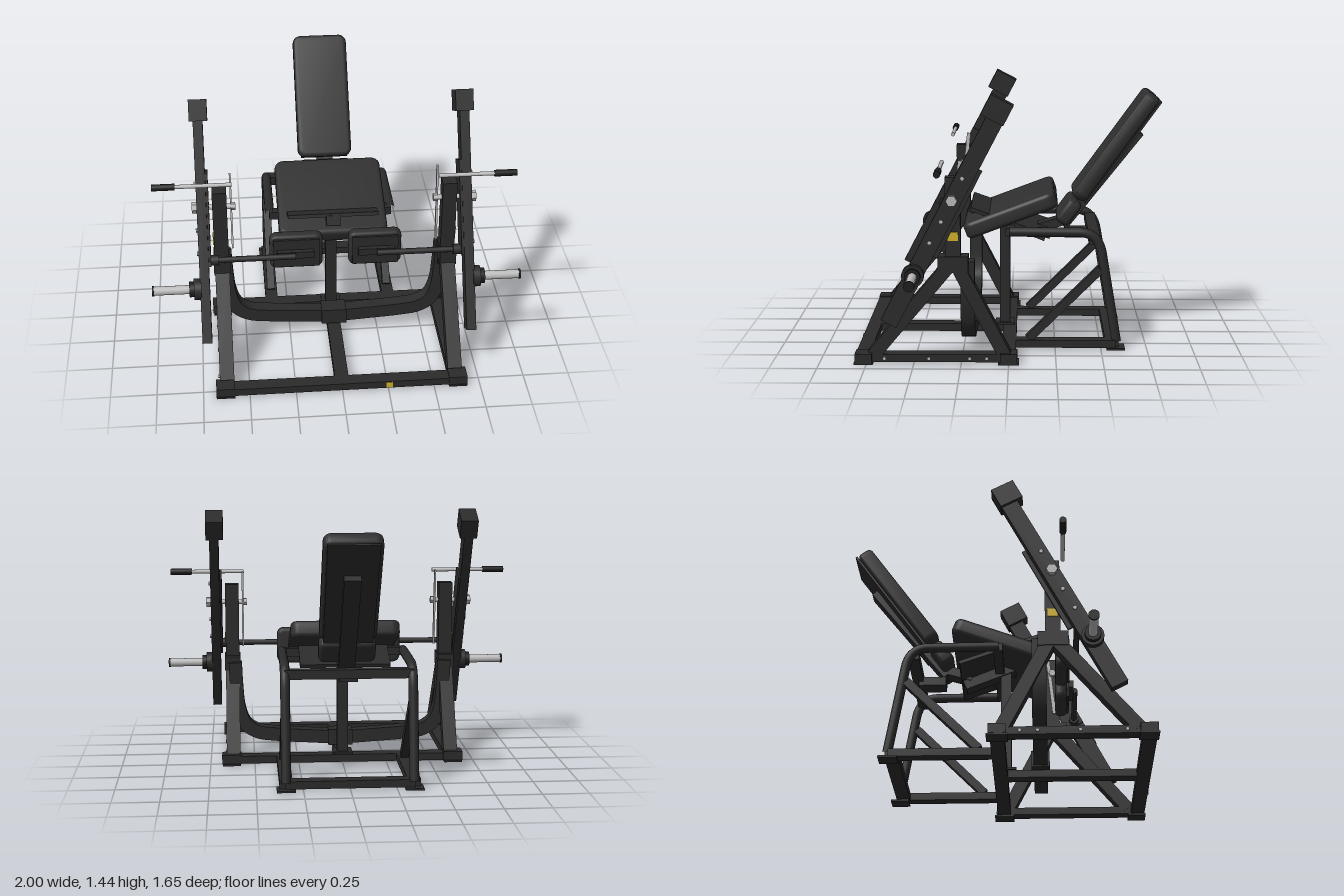
import * as THREE from 'three';
import { toCreasedNormals } from 'three/addons/utils/BufferGeometryUtils.js';

const mat = (name, color) => {
  const m = new THREE.MeshStandardMaterial({ color });
  m.name = name;
  return m;
};

export function createModel() {
  const model = new THREE.Group();
  model.name = 'legExtensionMachine';
  const frame = mat('frameBlack', 0x2b2b2b);
  const vinyl = mat('padBlack', 0x2f2f2f);
  const rubber = mat('rubberBlack', 0x1e1e1e);
  const steel = mat('steel', 0xbdbdbd);
  const yellow = mat('yellow', 0xd2b42a);

  const V = (x, y, z) => new THREE.Vector3(x, y, z);
  const add = (name, geo, material) => {
    const mesh = new THREE.Mesh(geo, material);
    mesh.name = name;
    model.add(mesh);
    return mesh;
  };
  const box = (name, w, h, d, x, y, z, material = frame, tilt = 0) => {
    const m = add(name, new THREE.BoxGeometry(w, h, d), material);
    m.position.set(x, y, z);
    m.rotation.x = tilt;
    return m;
  };
  // Rectangular bar between two points; w is the horizontal width
  const bar = (name, a, b, w, h, material = frame) => {
    const m = add(name, new THREE.BoxGeometry(w, h, a.distanceTo(b)), material);
    m.position.copy(a).lerp(b, 0.5);
    m.lookAt(b);
    return m;
  };
  // Round rod along x
  const rod = (name, x0, x1, y, z, r, material, sides = 20) => {
    const g = new THREE.CylinderGeometry(r, r, Math.abs(x1 - x0), sides);
    const m = add(name, sides > 8 ? g : g.toNonIndexed(), material);
    m.geometry.rotateZ(Math.PI / 2);
    if (sides <= 8) m.geometry.computeVertexNormals();
    m.position.set((x0 + x1) / 2, y, z);
    return m;
  };
  // Upholstered pad: rounded rectangle facing z, with a soft rim
  const pad = (name, w, h, t, r, y, z, tilt, x = 0) => {
    const bevel = Math.min(0.022, t * 0.35);
    const W = w / 2 - bevel, H = h / 2 - bevel, R = Math.max(r - bevel, 0.008);
    const s = new THREE.Shape();
    s.absarc(W - R, H - R, R, 0, Math.PI / 2);
    s.absarc(-W + R, H - R, R, Math.PI / 2, Math.PI);
    s.absarc(-W + R, -H + R, R, Math.PI, Math.PI * 1.5);
    s.absarc(W - R, -H + R, R, Math.PI * 1.5, Math.PI * 2);
    const g = new THREE.ExtrudeGeometry(s, {
      depth: t - 2 * bevel, bevelThickness: bevel, bevelSize: bevel, bevelSegments: 4, curveSegments: 6,
    });
    g.translate(0, 0, -t / 2 + bevel);
    const m = add(name, toCreasedNormals(g, 0.7), vinyl);
    m.position.set(x, y, z);
    m.rotation.x = tilt;
    return m;
  };

  // Base
  box('frontBaseTube', 1.3, 0.042, 0.075, 0, 0.031, 0.77);
  box('middleBaseTube', 1.34, 0.042, 0.075, 0, 0.031, 0);
  box('rearBaseTube', 0.69, 0.042, 0.075, 0, 0.031, -0.56);
  box('centreBaseTube', 0.075, 0.042, 0.75, 0, 0.031, 0.385);
  box('baseLabel', 0.035, 0.035, 0.006, 0.255, 0.032, 0.809, yellow);

  // Curved cross tube joining the two uprights
  const half = [[0.605, 0.55], [0.598, 0.4], [0.585, 0.28], [0.55, 0.19], [0.48, 0.142], [0.38, 0.126], [0.2, 0.113]];
  const path = new THREE.CatmullRomCurve3([
    ...half.map(([x, y]) => V(-x, y, 0)), V(0, 0.103, 0), ...half.slice().reverse().map(([x, y]) => V(x, y, 0)),
  ]);
  const upper = [], lower = [];
  for (let i = 0; i <= 72; i++) {
    const p = path.getPointAt(i / 72), t = path.getTangentAt(i / 72);
    upper.push(new THREE.Vector2(p.x - t.y * 0.038, p.y + t.x * 0.038));
    lower.unshift(new THREE.Vector2(p.x + t.y * 0.038, p.y - t.x * 0.038));
  }
  const crossGeo = new THREE.ExtrudeGeometry(new THREE.Shape([...lower, ...upper]), { depth: 0.075, bevelEnabled: false });
  add('curvedCrossTube', toCreasedNormals(crossGeo, 0.6), frame).position.z = 0.178;
  box('crossTubeSleeve', 0.14, 0.09, 0.1, 0, 0.105, 0.215);

  // Seat post, upper cross tubes and seat
  box('seatPost', 0.062, 0.6, 0.058, 0, 0.34, 0.029);
  box('postFoot', 0.11, 0.012, 0.11, 0, 0.058, 0.029);
  box('seatCrossTube', 0.69, 0.045, 0.05, 0, 0.645, -0.005);
  box('rearCrossTube', 0.69, 0.05, 0.06, 0, 0.605, -0.46);
  box('backrestBracket', 0.1, 0.05, 0.15, 0, 0.582, -0.38);
  bar('seatRail', V(0, 0.73, 0.23), V(0, 0.56, -0.2), 0.08, 0.055);
  bar('seatPlate', V(0, 0.755, 0.215), V(0, 0.6, -0.22), 0.5, 0.02);
  bar('seatHinge', V(0, 0.61, -0.16), V(0, 0.66, -0.33), 0.09, 0.05);
  pad('seatPad', 0.6, 0.53, 0.09, 0.05, 0.725, -0.005, -Math.PI / 2 + 0.36);

  // Backrest
  const lean = -0.625;
  pad('backrestPad', 0.31, 0.71, 0.085, 0.045, 1.08, -0.58, lean);
  pad('lumbarPad', 0.31, 0.15, 0.08, 0.035, 0.715, -0.325, lean);
  box('backrestPlate', 0.27, 0.7, 0.012, 0, 1.048, -0.622, frame, lean);
  bar('backrestTube', V(0, 0.625, -0.295), V(0, 1.155, -0.715), 0.09, 0.06);

  for (const s of [-1, 1]) {
    const X = s * 0.62, R = s * 0.342, A = s * 0.716;

    // Side base, foot plates and bolts
    box('sideBaseTube', 0.075, 0.042, 0.8, X, 0.031, 0.385);
    box('rearSideBaseTube', 0.07, 0.042, 0.58, R, 0.031, -0.29);
    box('frontFootPlate', 0.1, 0.01, 0.1, s * 0.63, 0.005, 0.765);
    box('middleFootPlate', 0.1, 0.01, 0.11, s * 0.63, 0.005, 0);
    box('middleJointCap', 0.11, 0.05, 0.09, s * 0.63, 0.035, 0);
    box('frontJointCap', 0.1, 0.05, 0.09, s * 0.63, 0.033, 0.765);
    box('rearFootPlate', 0.1, 0.01, 0.1, R, 0.005, -0.58);
    for (const z of [0.655, 0.42, 0.205, 0.115]) rod('baseBolt', X + s * 0.035, X + s * 0.046, 0.03, z, 0.01, steel, 6);

    // Bent rear leg and its diagonal brace
    const leg = new THREE.CurvePath();
    leg.add(new THREE.LineCurve3(V(R, 0.648, 0), V(R, 0.646, -0.38)));
    leg.add(new THREE.QuadraticBezierCurve3(V(R, 0.646, -0.38), V(R, 0.645, -0.482), V(R, 0.53, -0.502)));
    leg.add(new THREE.LineCurve3(V(R, 0.53, -0.502), V(R, 0.04, -0.585)));
    add('rearLeg', new THREE.TubeGeometry(leg, 60, 0.026, 14), frame);
    bar('rearBrace', V(R, 0.055, -0.105), V(R, 0.445, -0.495), 0.045, 0.045);

    // Upright with splayed legs
    bar('uprightFrontLeg', V(X, 0.045, 0.715), V(X, 0.54, 0.3), 0.078, 0.07);
    bar('uprightRearLeg', V(X, 0.045, 0.02), V(X, 0.52, 0.265), 0.078, 0.07);
    box('uprightHub', 0.09, 0.08, 0.16, X, 0.54, 0.29);
    box('uprightPost', 0.078, 0.46, 0.08, X, 0.765, 0.29);
    box('uprightLabel', 0.006, 0.045, 0.054, X + s * 0.041, 0.687, 0.29, yellow);

    // Swinging arm with counterweight block and adjustment plate
    bar('swingArm', V(A, 0.24, 0.622), V(A, 1.34, 0.05), 0.052, 0.092);
    box('counterweight', 0.097, 0.115, 0.13, s * 0.713, 1.355, 0.057, frame, -0.478);
    bar('adjustmentPlate', V(s * 0.683, 0.6, 0.42), V(s * 0.683, 1.06, 0.185), 0.012, 0.115);
    for (const [y, z] of [[1.005, 0.235], [0.78, 0.345], [0.67, 0.405]]) rod('armBolt', A + s * 0.024, A + s * 0.036, y, z, 0.012, steel, 6);

    // Pivot axle
    rod('pivotAxle', s * 0.54, s * 0.76, 0.89, 0.29, 0.014, steel);
    rod('pivotOuterNut', s * 0.74, s * 0.768, 0.89, 0.29, 0.03, steel, 6);
    rod('pivotInnerNut', s * 0.535, s * 0.56, 0.89, 0.29, 0.022, steel, 6);

    // Adjustment handle
    box('handleLever', 0.01, 0.44, 0.022, s * 0.558, 0.85, 0.277, steel, -0.1);
    rod('handleRod', s * 0.55, s * 0.86, 1.06, 0.35, 0.011, steel);
    rod('handleGrip', s * 0.85, s * 0.972, 1.06, 0.35, 0.018, rubber);

    // Weight peg
    rod('pegFlange', s * 0.735, s * 0.775, 0.5, 0.492, 0.058, frame, 28);
    rod('pegCollar', s * 0.77, s * 0.8, 0.5, 0.492, 0.042, rubber, 24);
    rod('pegSleeve', s * 0.795, s * 0.993, 0.5, 0.492, 0.024, steel);
    rod('pegEndCap', s * 0.99, s * 1.0, 0.5, 0.492, 0.028, rubber);

    // Shin pad on its side rod
    rod('shinRod', s * 0.22, s * 0.7, 0.63, 0.415, 0.016, frame);
    rod('shinRodCollar', s * 0.635, s * 0.695, 0.63, 0.415, 0.028, frame);
    pad('shinPad', 0.29, 0.21, 0.065, 0.04, 0.625, 0.335, 0, s * 0.215);
    box('shinPadPlate', 0.25, 0.17, 0.012, s * 0.215, 0.625, 0.374);
    box('shinPadBracket', 0.2, 0.04, 0.03, s * 0.22, 0.63, 0.392);
  }
  return model;
}
